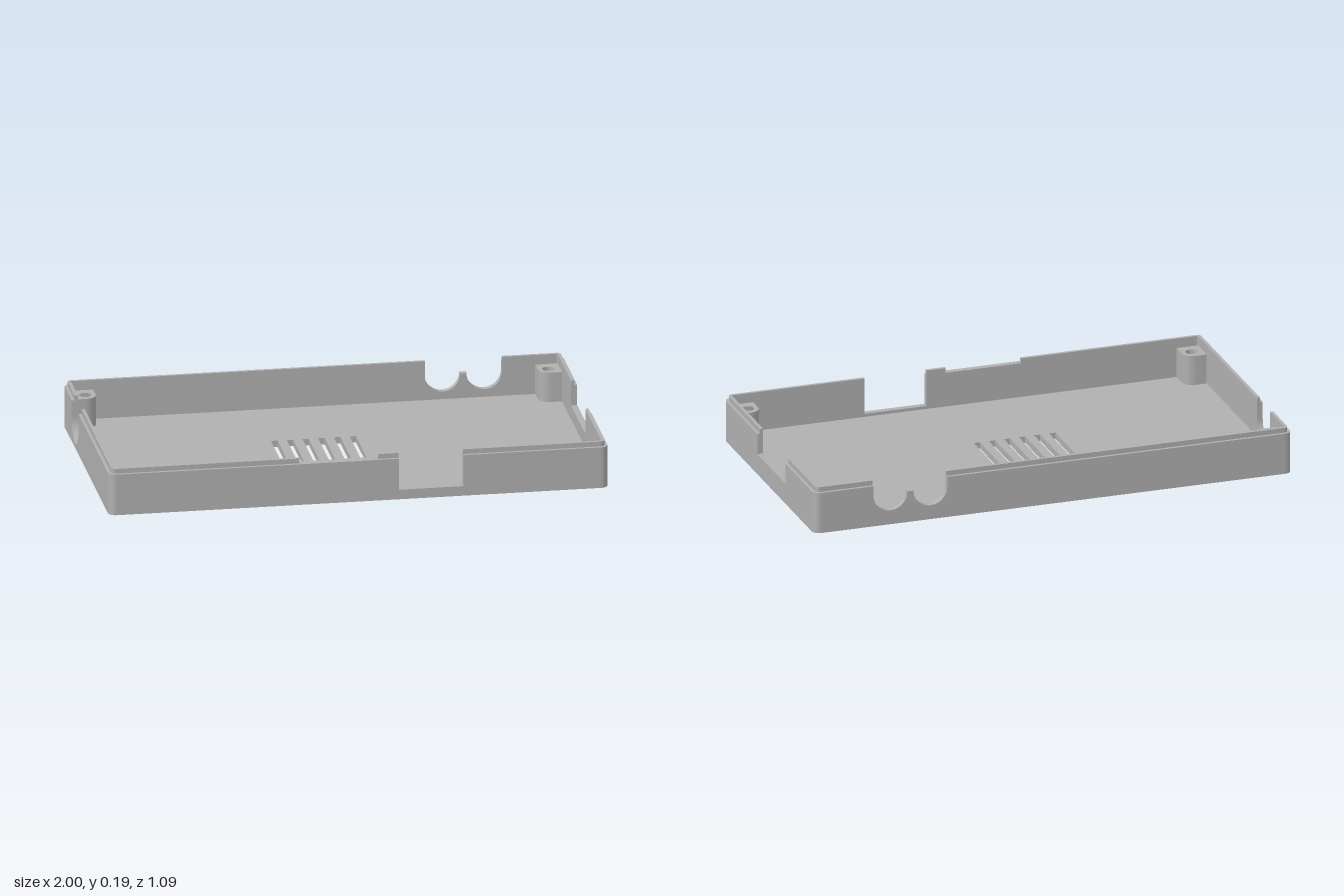
import * as THREE from 'three';
import { toCreasedNormals } from 'three/addons/utils/BufferGeometryUtils.js';

const HX = 1, HZ = 0.543;          // half width and half depth
const WALL = 0.025, STEP = 0.012;  // wall thickness and lip inset
const RIM = 0.17, TOP = 0.19;      // shoulder height and lip height
const FLOOR = 0.027, R = 0.03;     // floor thickness and corner radius

export function createModel() {
  const plastic = new THREE.MeshStandardMaterial({ color: 0xb0b0b0 });
  plastic.name = 'grey plastic';
  const model = new THREE.Group();
  model.name = 'enclosureBase';

  const extrude = (shape, depth) => toCreasedNormals(
    new THREE.ExtrudeGeometry(shape, { depth, bevelEnabled: false, curveSegments: 20 }), 0.6);
  const add = (name, geometry, parent = model) => {
    const mesh = new THREE.Mesh(geometry, plastic);
    mesh.name = name;
    parent.add(mesh);
    return mesh;
  };
  // Plan outline (x, -z) raised from y0 to y1
  const slab = (name, shape, y0, y1) =>
    add(name, extrude(shape, y1 - y0).rotateX(-Math.PI / 2).translate(0, y0, 0));
  const rect = (x0, y0, x1, y1, Kind = THREE.Shape) => new Kind([
    new THREE.Vector2(x0, y0), new THREE.Vector2(x1, y0),
    new THREE.Vector2(x1, y1), new THREE.Vector2(x0, y1)]);
  const circle = (x, y, r) => new THREE.Path().absarc(x, y, r, 0, Math.PI * 2, true);

  const corners = [[1, 1], [-1, 1], [-1, -1], [1, -1]];
  const HOLE_X = 0.928, HOLE_Z = 0.46;

  // Floor with vent slots and screw recesses
  const floor = rect(WALL - HX, WALL - HZ, HX - WALL, HZ - WALL);
  for (let i = 0; i < 6; i++) {
    const x = -0.223 + i * 0.063;
    floor.holes.push(rect(x - 0.013, -0.11, x + 0.013, 0.145, THREE.Path));
  }
  for (const [sx, sy] of corners) floor.holes.push(circle(sx * HOLE_X, sy * HOLE_Z, 0.034));
  slab('floor', floor, 0, FLOOR);

  // Screw posts with a wide recess below and a narrow hole above
  const post = (sx, sy, hole) => {
    const s = new THREE.Shape(), x0 = 0.885, y0 = 0.413, x1 = HX - WALL, y1 = HZ - WALL, r = 0.045;
    s.moveTo(sx * x1, sy * y1);
    s.lineTo(sx * x0, sy * y1);
    s.lineTo(sx * x0, sy * (y0 + r));
    s.quadraticCurveTo(sx * (x0 + 0.004), sy * (y0 + 0.004), sx * (x0 + r), sy * y0);
    s.lineTo(sx * x1, sy * y0);
    s.closePath();
    s.holes.push(circle(sx * HOLE_X, sy * HOLE_Z, hole));
    return s;
  };
  // Rounded quarter-ring wall corner
  const bend = (sx, sy, k, outer) => {
    const s = new THREE.Shape(), a = k * Math.PI / 2, b = a + Math.PI / 2;
    const cx = sx * (HX - R), cy = sy * (HZ - R);
    s.absarc(cx, cy, outer, a, b, false);
    s.absarc(cx, cy, R - WALL, b, a, true);
    s.closePath();
    return s;
  };
  corners.forEach(([sx, sy], k) => {
    slab('screwPostBase', post(sx, sy, 0.034), FLOOR, 0.06);
    slab('screwPost', post(sx, sy, 0.024), 0.06, 0.15);
    slab('wallCorner', bend(sx, sy, k, R), 0, RIM);
    slab('lipCorner', bend(sx, sy, k, R - STEP), RIM, TOP);
  });

  // Straight wall drawn in elevation; notches run from right to left.
  // A notch has a flat bottom y, or round bites of radius r centred at height y.
  const wall = (name, half, out, angle, notches) => {
    const group = new THREE.Group();
    group.name = name;
    group.rotation.y = angle;
    model.add(group);
    const s = new THREE.Shape();
    s.moveTo(-half, 0);
    s.lineTo(half, 0);
    s.lineTo(half, RIM);
    const lip = (from, to) => add(name + 'Lip', extrude(rect(from, RIM, to, TOP), WALL - STEP)
      .translate(0, 0, out - WALL), group);
    let edge = half;
    for (const { hi, lo, y, r, bites = [] } of notches) {
      lip(hi, edge);
      edge = lo;
      if (y >= RIM) continue;
      s.lineTo(hi, RIM);
      s.lineTo(hi, y);
      for (const c of bites) s.absarc(c, y, r, 0, Math.PI, true);
      s.lineTo(lo, y);
      s.lineTo(lo, RIM);
    }
    lip(-half, edge);
    s.lineTo(-half, RIM);
    s.closePath();
    add(name + 'Panel', extrude(s, WALL).translate(0, 0, out - WALL), group);
  };
  wall('frontWall', HX - R, HZ, 0, [
    { hi: 0.42, lo: 0.16, y: 0.04 },
    { hi: 0.08, lo: -0.235, y: RIM }]);
  wall('backWall', HX - R, HZ, Math.PI, [
    { hi: -0.443, lo: -0.752, y: 0.13, r: 0.071, bites: [-0.514, -0.681] }]);
  wall('leftWall', HZ - R, HX, Math.PI / 2, [{ hi: 0.2, lo: -0.14, y: 0.085 }]);
  wall('rightWall', HZ - R, HX, -Math.PI / 2, [
    { hi: -0.188, lo: -0.348, y: 0.1, r: 0.08, bites: [-0.268] }]);

  return model;
}
